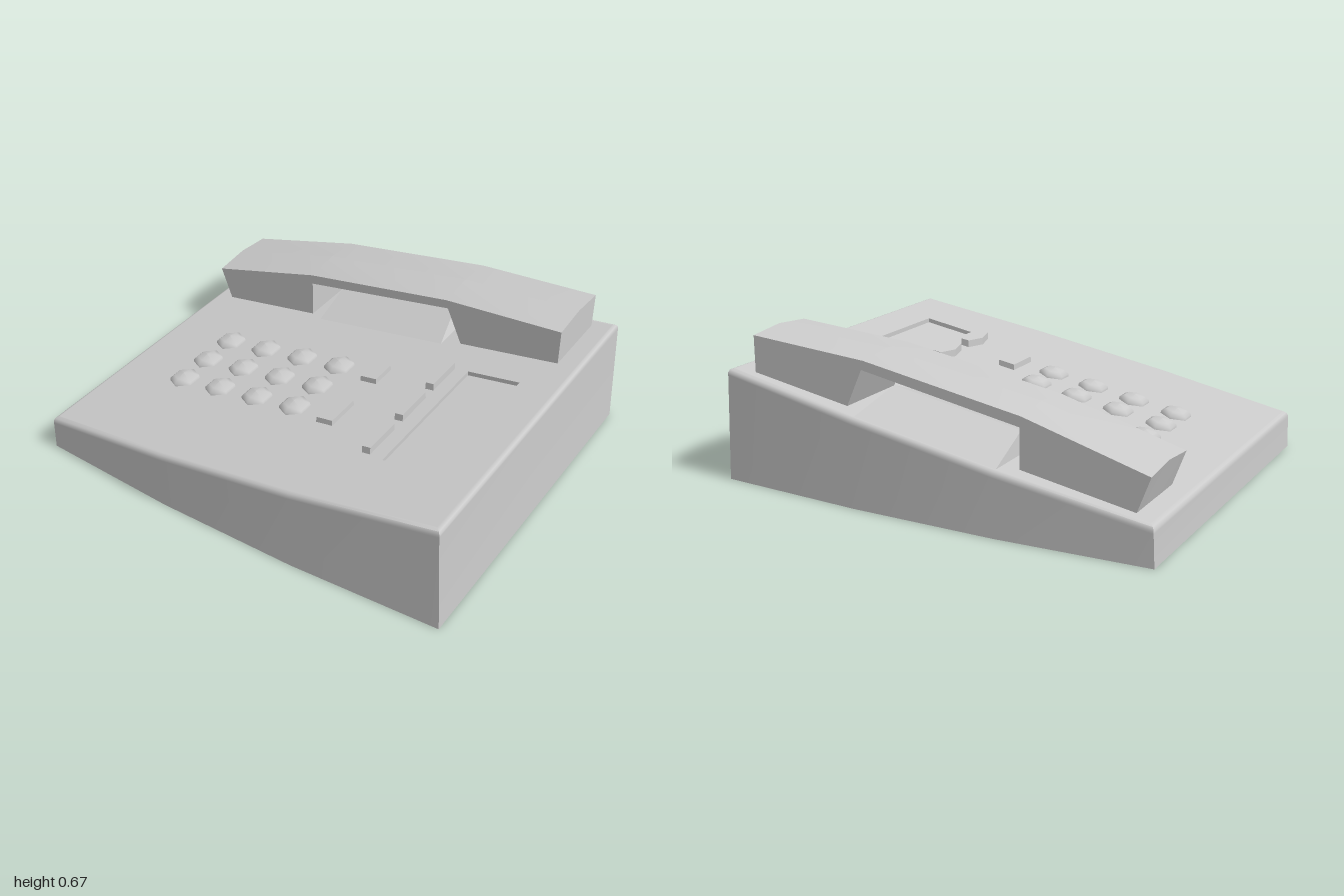
import * as THREE from 'three';
import { toCreasedNormals } from 'three/addons/utils/BufferGeometryUtils.js';

const SLOPE = 0.172;
const deckY = (x) => 0.338 + SLOPE * x; // height of the sloping deck
const grey = new THREE.MeshStandardMaterial({ color: 0xcccccc });

function part(name, geometry, parent) {
  const mesh = new THREE.Mesh(geometry, grey);
  mesh.name = name;
  parent.add(mesh);
  return mesh;
}

// Skin a stack of closed rings of [x, y, z] points
function loft(rings, crease) {
  const n = rings[0].length;
  const index = [];
  for (let r = 0; r < rings.length - 1; r++) {
    for (let i = 0; i < n; i++) {
      const a = r * n + i, b = r * n + (i + 1) % n;
      index.push(a, b, b + n, a, b + n, a + n);
    }
  }
  const geo = new THREE.BufferGeometry();
  geo.setAttribute('position', new THREE.Float32BufferAttribute(rings.flat(2), 3));
  geo.setIndex(index);
  return toCreasedNormals(geo, crease);
}

const polygon = (points) => new THREE.Shape(points.map(([x, y]) => new THREE.Vector2(x, y)));

// Flat plan shape [x, z] laid along the deck at an offset
function onDeck(plan, offset, hole) {
  const flip = (pts) => pts.map(([x, z]) => [x, -z]);
  const shape = polygon(flip(plan));
  if (hole) shape.holes.push(polygon(flip(hole)));
  const geo = new THREE.ShapeGeometry(shape).rotateX(-Math.PI / 2);
  const p = geo.attributes.position;
  for (let i = 0; i < p.count; i++) p.setY(i, deckY(p.getX(i)) + offset);
  geo.computeVertexNormals();
  return geo;
}

// Raised key with a plan outline, walls, slightly inset top
function planKey(name, plan, height, parent) {
  const cx = plan.reduce((s, p) => s + p[0], 0) / plan.length;
  const cz = plan.reduce((s, p) => s + p[1], 0) / plan.length;
  const inset = plan.map(([x, z]) => [cx + (x - cx) * 0.95, cz + (z - cz) * 0.97]);
  const ring = (pts, h) => pts.map(([x, z]) => [x, deckY(x) + h, z]);
  const key = new THREE.Group();
  key.name = name;
  part('keySides', loft([ring(plan, -0.005), ring(inset, height)], 0.3), key);
  part('keyTop', onDeck(inset, height), key);
  parent.add(key);
}

// Wedge body with bowed long sides, soft rim and sunken display
function makeBody() {
  const body = new THREE.Group();
  body.name = 'body';
  const outline = [[-1, 0.8], [-0.34, 0.835], [0.32, 0.835], [1, 0.8],
    [1, -0.8], [0.32, -0.835], [-0.34, -0.835], [-1, -0.8]];
  const ring = (inset, drop) => outline.map(([x, z]) => {
    const end = Math.abs(x) === 1 ? Math.sign(x) : 0;
    const px = x - end * (inset + 0.045 * deckY(x));
    return [px, deckY(px) - drop, z - Math.sign(z) * inset];
  });
  const base = outline.map(([x, z]) => [x, 0, z]);
  const rim = ring(0.022, 0);
  const rings = [base, ring(0, 0.03), ring(0, 0.02), ring(0.006, 0.006), ring(0.018, 0), rim];
  part('bodySides', loft(rings, 0.9), body);
  part('bodyBottom', new THREE.ShapeGeometry(polygon(outline)).rotateX(Math.PI / 2), body);

  const display = [[0.545, 0.5], [0.79, 0.5], [0.79, -0.205], [0.545, -0.205]];
  const edge = (drop) => display.map(([x, z]) => [x, deckY(x) - drop, z]);
  part('deck', onDeck(rim.map(([x, , z]) => [x, z]), 0, display), body);
  part('displayWalls', loft([edge(0), edge(0.02)], 0.3), body);
  part('displayScreen', onDeck(display, -0.02), body);
  return body;
}

// Ridge-shaped rest between the two ends of the handset
function makeCradle(parent) {
  const base = [[-0.34, -0.365], [0.318, -0.365], [0.318, -0.82], [-0.34, -0.82]]
    .map(([x, z]) => [x, deckY(x) - 0.002, z]);
  const left = [-0.33, 0.372, -0.59], right = [0.27, 0.475, -0.59];
  part('cradle', loft([base, [left, right, right, left]], 0.3), parent);
}

// Arched handset: side profile extruded, with a shallow ridge along the top
function makeHandset(parent) {
  const top = [[-0.955, 0.333], [-0.41, 0.485], [0.315, 0.61], [0.872, 0.65]];
  const profile = [...top, [0.872, 0.47], [0.405, 0.395], [0.325, 0.57],
    [-0.405, 0.44], [-0.405, 0.255], [-0.895, 0.17]];
  const depth = 0.345;
  const geo = new THREE.ExtrudeGeometry(polygon(profile), { depth, steps: 2, bevelEnabled: false });
  const p = geo.attributes.position;
  for (let i = 0; i < p.count; i++) {
    const middle = Math.abs(p.getZ(i) - depth / 2) < 0.01;
    const onTop = top.some(([x, y]) => Math.hypot(p.getX(i) - x, p.getY(i) - y) < 0.001);
    if (middle && onTop) p.setY(i, p.getY(i) + 0.016);
  }
  geo.translate(0, 0, -0.745);
  part('handset', toCreasedNormals(geo, 0.2), parent);
}

export function createModel() {
  const model = new THREE.Group();
  model.name = 'deskTelephone';
  model.add(makeBody());
  makeCradle(model);
  makeHandset(model);

  // Dial pad of six-sided domed keys
  const pad = new THREE.Group();
  pad.name = 'dialPad';
  const dome = [[0.07, -0.01], [0.068, 0.012], [0.045, 0.026], [0, 0.033]]
    .map(([r, y]) => new THREE.Vector2(r, y));
  const domeGeo = new THREE.LatheGeometry(dome, 6);
  for (const x of [-0.625, -0.42, -0.215, -0.012]) {
    for (const z of [-0.035, 0.14, 0.313]) {
      const key = part('dialKey', domeGeo, pad);
      key.position.set(x, deckY(x), z);
      key.rotation.z = Math.atan(SLOPE);
    }
  }
  model.add(pad);

  // Two oblong function keys
  for (const [front, back] of [[0.03, -0.095], [0.375, 0.205]]) {
    planKey('functionKey', [[0.14, front], [0.222, front], [0.222, back], [0.14, back]], 0.025, model);
  }

  // Three pointed keys beside the display
  for (const z of [-0.112, 0.14, 0.392]) {
    const plan = [[0.415, z], [0.44, z + 0.095], [0.48, z + 0.095], [0.48, z - 0.095], [0.44, z - 0.095]];
    planKey('pointedKey', plan, 0.032, model);
  }
  return model;
}
